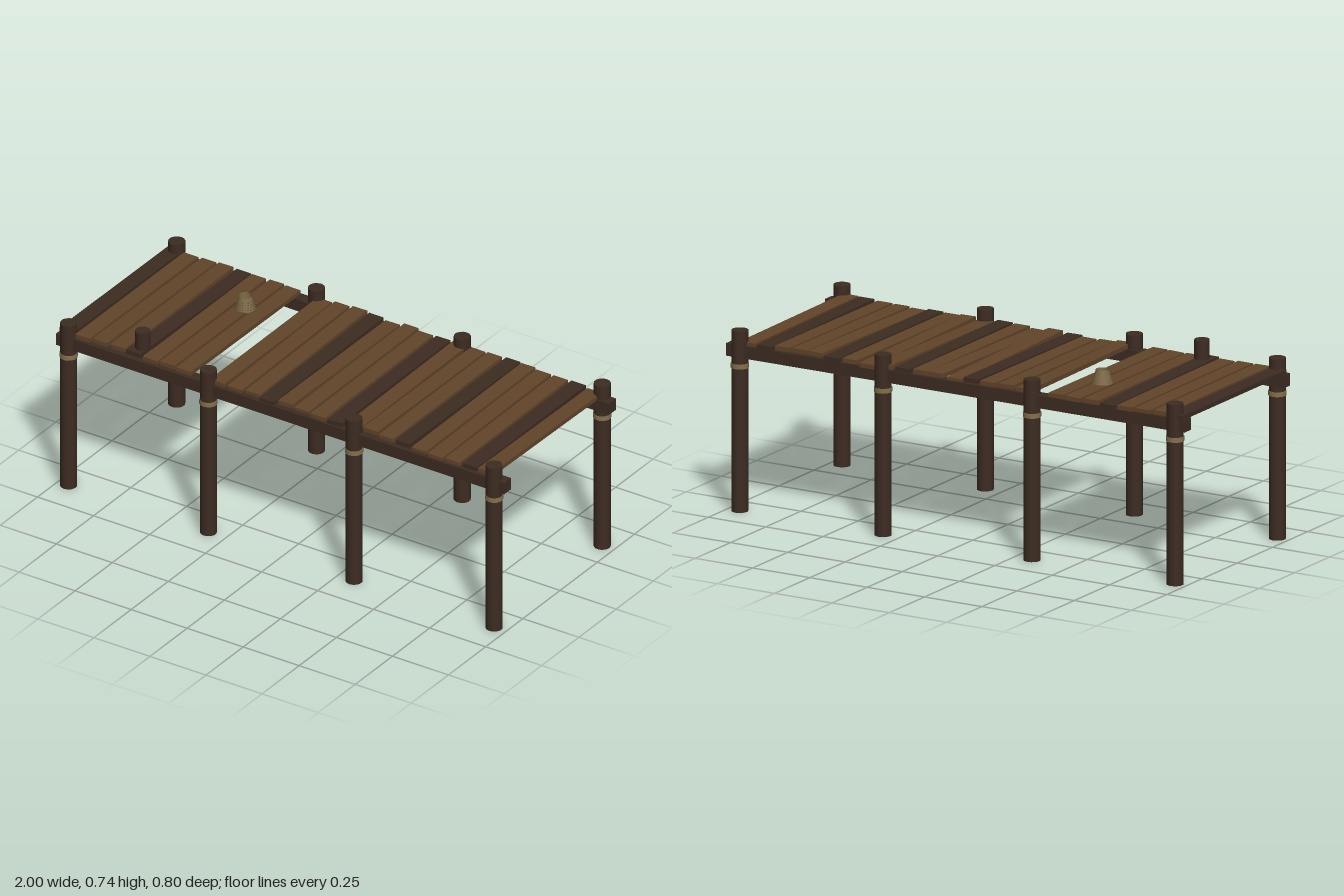
import * as THREE from 'three';

const mat = (name, color, side = THREE.FrontSide) => {
  const m = new THREE.MeshStandardMaterial({ color, side });
  m.name = name;
  return m;
};

export function createModel() {
  const dark = mat('darkWood', 0x3d2c22);
  const brown = mat('plankWood', 0x62452a);
  const rope = mat('rope', 0x85714c, THREE.DoubleSide);

  const model = new THREE.Group();
  model.name = 'pier';
  const add = (name, geometry, material, x, y, z) => {
    const mesh = new THREE.Mesh(geometry, material);
    mesh.name = name;
    mesh.position.set(x, y, z);
    model.add(mesh);
    return mesh;
  };

  // small seeded generator, returns -1..1
  let seed = 11;
  const jitter = () => {
    seed = (seed * 16807) % 2147483647;
    return (seed / 2147483647) * 2 - 1;
  };

  // posts with rope lashings, and the long side beams
  const postGeo = new THREE.CylinderGeometry(0.032, 0.032, 0.7, 14);
  const lashGeo = new THREE.CylinderGeometry(0.0345, 0.0345, 0.018, 14);
  for (const side of [-1, 1]) {
    for (const x of [-0.952, -0.328, 0.322, 0.947]) {
      add('post', postGeo, dark, x, 0.35, side * 0.363);
      add('ropeLashing', lashGeo, rope, x, 0.564, side * 0.363);
    }
    add('sideBeam', new THREE.BoxGeometry(2, 0.048, 0.048), dark, 0, 0.619, side * 0.3525);
  }

  // deck planks: slightly crooked, every fourth one dark, one missing
  for (let i = 0; i < 26; i++) {
    const shift = jitter() * 0.008, pitch = jitter() * 0.016;
    const yaw = jitter() * 0.008, roll = jitter() * 0.015;
    if (i === 8) continue;
    const isDark = i % 4 === 0;
    const geo = new THREE.BoxGeometry(0.064, 0.017, isDark ? 0.74 : 0.73);
    const plank = add(isDark ? 'darkPlank' : 'plank', geo, isDark ? dark : brown,
      -0.964 + i * 0.075, 0.6515, -0.006 + shift);
    plank.rotation.set(i === 7 || i === 6 ? 0 : pitch, yaw, i === 6 ? 0.03 : roll);
  }

  // mooring bollard
  add('bollard', new THREE.CylinderGeometry(0.029, 0.029, 0.082, 14), dark, -0.654, 0.697, 0.313);

  // stacked rope coil, open at the top, on a dark base
  const turns = 6;
  for (let i = 0; i < turns; i++) {
    const r = 0.04 - i * 0.0028;
    add('ropeCoil', new THREE.CylinderGeometry(r - 0.001, r, 0.0092, 18, 1, true), rope,
      -0.504, 0.6625 + i * 0.009, -0.15);
  }
  add('coilBase', new THREE.CylinderGeometry(0.039, 0.039, 0.003, 18), dark, -0.504, 0.6595, -0.15);

  return model;
}
